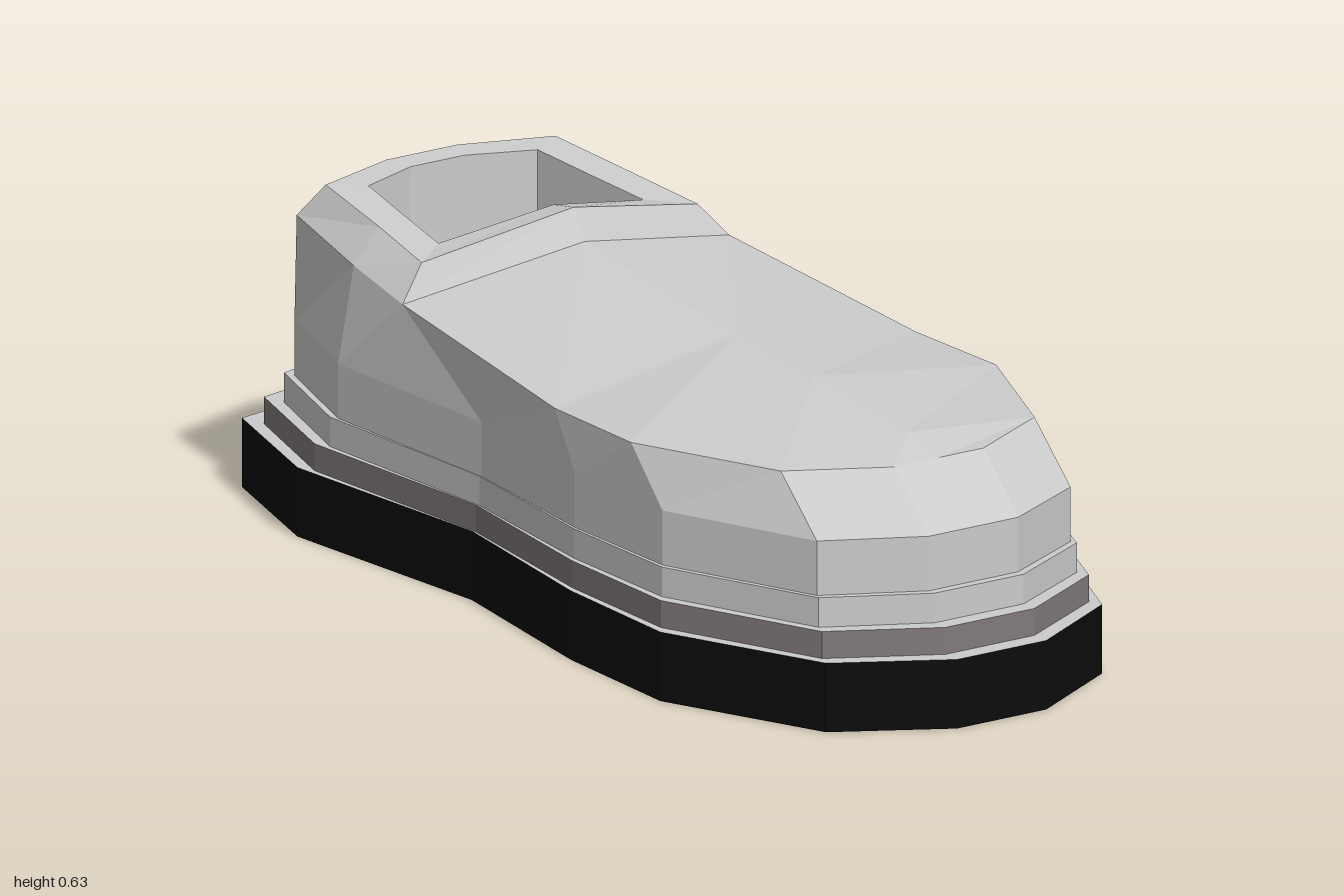
import * as THREE from 'three';

const GREY = 0xcccccc;

// Surface through rows of [x, y, z] points; collapsed triangles are skipped.
function loft(name, rows, color = GREY) {
  const pos = [];
  const same = (p, q) => Math.hypot(p[0] - q[0], p[1] - q[1], p[2] - q[2]) < 1e-6;
  const tri = (a, b, c) => {
    if (!same(a, b) && !same(b, c) && !same(c, a)) pos.push(...a, ...b, ...c);
  };
  for (let j = 0; j + 1 < rows.length; j++) {
    for (let i = 0; i + 1 < rows[j].length; i++) {
      const a = rows[j][i], b = rows[j][i + 1], c = rows[j + 1][i + 1], d = rows[j + 1][i];
      tri(a, b, c);
      tri(a, c, d);
    }
  }
  const geo = new THREE.BufferGeometry();
  geo.setAttribute('position', new THREE.Float32BufferAttribute(pos, 3));
  geo.computeVertexNormals();
  const mesh = new THREE.Mesh(geo, new THREE.MeshStandardMaterial({
    color, flatShading: true, side: THREE.DoubleSide,
  }));
  mesh.name = name;
  return mesh;
}

// Mirror the +x half of an outline; close() joins the end to the start.
const mirror = (half) => [...half, ...half.map(([x, y, z]) => [-x, y, z]).reverse()];
const close = (ring) => [...ring, ring[0]];
const loop = (half) => close(mirror(half));
const atHeight = (half, y) => half.map(([x, z]) => [x, y, z]);

// Half outlines [x, z], toe to heel
const soleOutline = [[0.1, 1], [0.31, 0.88], [0.45, 0.55], [0.44, 0.25],
  [0.38, -0.15], [0.42, -0.65], [0.33, -0.955], [0.11, -1]];
const upperOutline = [[0.1, 0.91], [0.285, 0.815], [0.41, 0.5], [0.41, 0.22],
  [0.373, -0.13], [0.385, -0.57], [0.3, -0.83], [0.1, -0.885]];

// One stepped layer of the sole: coloured sides and base, grey ledge on top
function layer(name, t, y0, y1, color) {
  const half = soleOutline.map(([x, z], i) => [
    x + (upperOutline[i][0] - x) * t, z + (upperOutline[i][1] - z) * t]);
  const low = loop(atHeight(half, y0)), high = loop(atHeight(half, y1));
  const group = new THREE.Group();
  group.name = name;
  group.add(
    loft(name + 'Side', [low.map(() => [0, y0, 0]), low, high], color),
    loft(name + 'Ledge', [high, high.map(() => [0, y1, 0])]),
  );
  return group;
}

export function createModel() {
  const shoe = new THREE.Group();
  shoe.name = 'shoe';

  shoe.add(
    layer('outsole', 0, 0, 0.133, 0x0c0c0c),
    layer('midsole', 0.42, 0.133, 0.185, 0x827a7a),
    layer('welt', 0.8, 0.185, 0.242, GREY),
  );

  // Side wall of the upper, leaning back over the toe and rising to the heel
  const wallTop = [[0.1, 0.452, 0.8], [0.285, 0.452, 0.7], [0.41, 0.452, 0.4], [0.405, 0.452, 0.15],
    [0.367, 0.505, -0.39], [0.35, 0.53, -0.57], [0.295, 0.55, -0.83], [0.1, 0.55, -0.885]];
  const wallMid = atHeight(upperOutline, 0.347);
  shoe.add(loft('upperWall', [loop(atHeight(upperOutline, 0.242)), loop(wallMid), loop(wallTop)]));

  // Vamp: rows across the foot with a crease along the middle
  const crease = [[0.8, 0.452], [0.7, 0.475], [0.4, 0.505], [0.15, 0.52], [-0.33, 0.575]];
  shoe.add(loft('vamp', crease.map(([z, y], i) => {
    const [ex, ey, ez] = wallTop[i];
    return [[-ex, ey, ez], [0, y, z], [ex, ey, ez]];
  })));

  // Collar: bevel, rim and edge of the foot opening
  const rim = [[0.31, 0.57, -0.41], [0.285, 0.59, -0.58], [0.258, 0.612, -0.79], [0.08, 0.612, -0.85]];
  const opening = [[0.23, 0.577, -0.47], [0.21, 0.592, -0.61], [0.19, 0.608, -0.75], [0.06, 0.608, -0.8]];
  const ringFrom = (front, half) => close([front, ...mirror(half)]);
  shoe.add(loft('collar', [
    ringFrom([0, 0.575, -0.33], wallTop.slice(4)),
    ringFrom([0, 0.632, -0.365], rim),
    ringFrom([0, 0.62, -0.43], opening),
  ]));

  // Lining around the heel, open toward the toe
  shoe.add(loft('lining', [
    mirror(opening),
    mirror(opening.map(([x, , z]) => [x, 0.243, z])),
  ]));

  return shoe;
}
